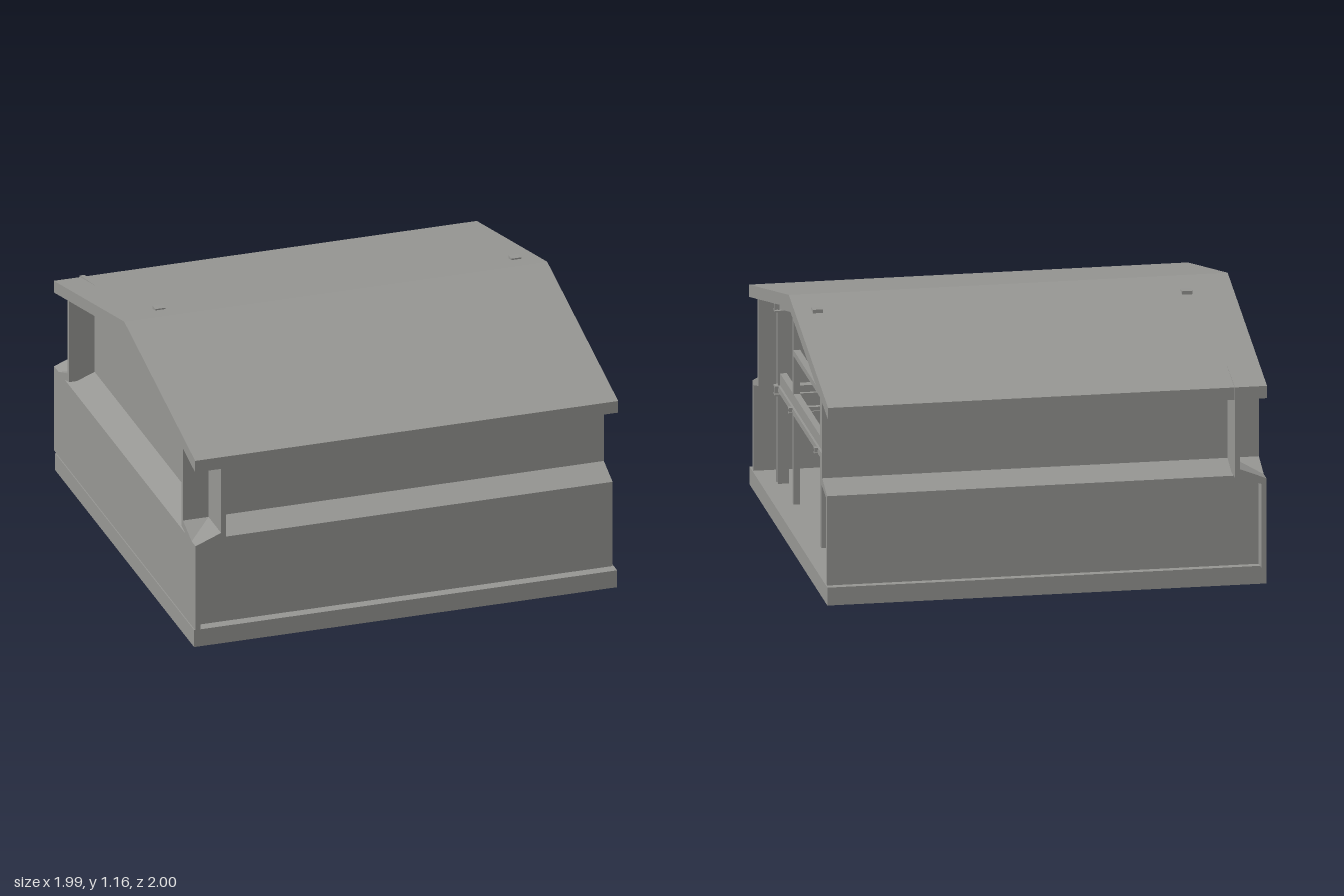
import * as THREE from 'three';

export function createModel() {
  const model = new THREE.Group();
  const concrete = new THREE.MeshStandardMaterial({ color: 0x969693 });
  concrete.name = 'concrete grey';

  function add(name, geometry, parent = model) {
    const mesh = new THREE.Mesh(geometry, concrete);
    mesh.name = name;
    parent.add(mesh);
    return mesh;
  }
  // Box given by its limits
  function box(name, x0, x1, y0, y1, z0, z1, parent) {
    const g = new THREE.BoxGeometry(x1 - x0, y1 - y0, z1 - z0);
    g.translate((x0 + x1) / 2, (y0 + y1) / 2, (z0 + z1) / 2);
    return add(name, g, parent);
  }
  function extrude(points, depth) {
    const shape = new THREE.Shape(points.map(([u, v]) => new THREE.Vector2(u, v)));
    return new THREE.ExtrudeGeometry(shape, { depth, bevelEnabled: false });
  }
  // Profile of [z, y] points swept from x0 to x1
  function sweepX(name, points, x0, x1, parent) {
    return add(name, extrude(points, x1 - x0).rotateY(-Math.PI / 2).translate(x1, 0, 0), parent);
  }
  // Profile of [x, y] points swept from z0 to z1
  function sweepZ(name, points, z0, z1) {
    return add(name, extrude(points, z1 - z0).translate(0, 0, z0));
  }
  // I section centred on (u, v)
  function iSection(u, v, w, h, t) {
    const a = w / 2, b = h / 2, c = b - t, s = t / 2;
    return [[-a, -b], [a, -b], [a, -c], [s, -c], [s, c], [a, c],
      [a, b], [-a, b], [-a, c], [-s, c], [-s, -c], [-a, -c]].map(([p, q]) => [u + p, v + q]);
  }

  // Floor slab and gabled roof
  box('floorSlab', -0.995, 0.99, 0, 0.083, -0.97, 0.985);
  sweepX('roof', [[1, 0.865], [1, 0.922], [0, 1.162], [-0.99, 0.922],
    [-0.99, 0.865], [0, 1.105]], -0.995, 0.99);

  // Long walls, stepping inwards at mid height
  for (const s of [1, -1]) {
    sweepX(s > 0 ? 'frontWall' : 'backWall', [[0.936, 0.083], [0.936, 0.497], [0.813, 0.545],
      [0.813, 0.93], [0.79, 0.93], [0.79, 0.512], [0.914, 0.48], [0.914, 0.083]]
      .map(([z, y]) => [s * z, y]), -0.99, 0.985);
  }

  // Closed end wall with the same step, topped by a gable
  sweepZ('endWallLower', [[-0.99, 0.083], [-0.99, 0.497], [-0.87, 0.545], [-0.87, 0.6],
    [-0.848, 0.6], [-0.848, 0.507], [-0.967, 0.472], [-0.967, 0.083]], -1, 0.99);
  sweepX('endWallGable', [[0.99, 0.6], [0.99, 0.9], [0, 1.13], [-0.85, 0.959],
    [-1, 0.925], [-1, 0.6]], -0.87, -0.848);

  // Steel frames near each end
  for (const x of [0.89, -0.78]) {
    const frame = new THREE.Group();
    frame.name = 'steelFrame';
    model.add(frame);

    for (const z of [0.71, -0.724]) {
      const column = extrude(iSection(0, 0, 0.05, 0.042, 0.008), 0.85);
      column.rotateX(-Math.PI / 2).translate(x, 0.083, z);
      add('outerColumn', column, frame);
    }
    for (const z of [0.367, -0.333]) {
      box('innerColumn', x - 0.015, x + 0.015, 0.083, 0.98, z - 0.014, z + 0.014, frame);
    }
    for (const s of [1, -1]) {
      sweepX('rafter', [[s * 0.7, 0.89], [s * 0.7, 0.927], [0, 1.097], [0, 1.06]],
        x - 0.018, x + 0.018, frame);
    }
    sweepX('ridgeGusset', [[0.065, 1.08], [0.03, 1.1], [-0.03, 1.1], [-0.065, 1.08],
      [-0.03, 1.062], [0.03, 1.062]], x - 0.025, x + 0.025, frame);
    box('lowerRail', x - 0.015, x + 0.015, 0.54, 0.595, -0.71, 0.69, frame);
    box('lowerRailFlange', x - 0.025, x + 0.025, 0.512, 0.54, -0.71, 0.69, frame);
    box('upperRail', x - 0.015, x + 0.015, 0.773, 0.8, -0.333, 0.367, frame);
    box('roofStub', x - 0.025, x + 0.022, 1.09, 1.137, -0.17, -0.13, frame);
  }

  // Lengthwise beams tying the frames together
  for (const [z, y, w, h] of [[0.695, 0.517, 0.045, 0.045], [-0.714, 0.517, 0.045, 0.045],
    [0.695, 0.905, 0.045, 0.045], [-0.714, 0.905, 0.045, 0.045],
    [0.34, 0.525, 0.025, 0.028], [-0.305, 0.525, 0.025, 0.028], [0, 1.034, 0.055, 0.04]]) {
    sweepX('lengthwiseBeam', iSection(z, y, w, h, 0.008), -0.83, 0.93);
  }
  return model;
}
